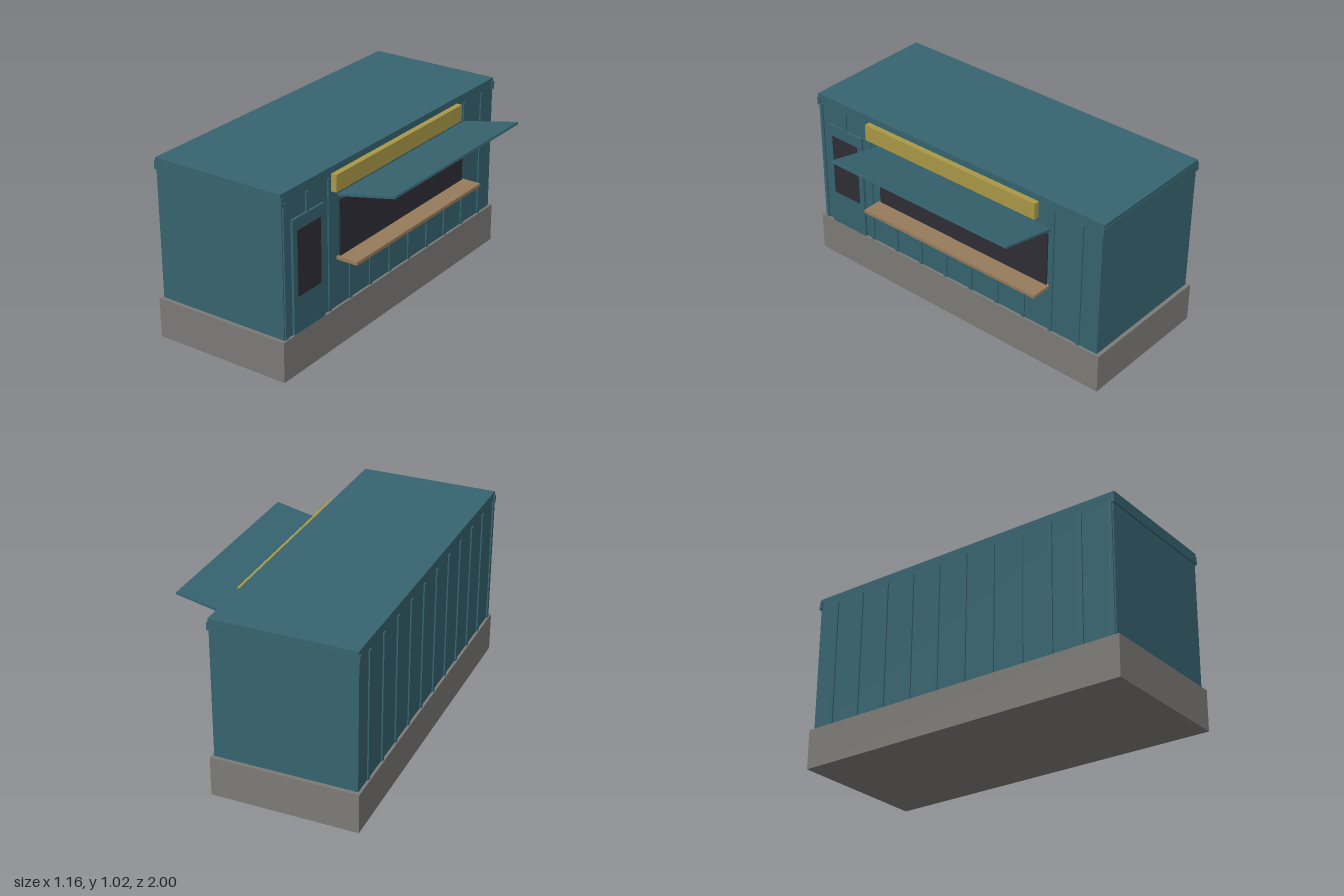
import * as THREE from 'three';

const paint = (name, color) => {
  const m = new THREE.MeshStandardMaterial({ color });
  m.name = name;
  return m;
};

export function createModel() {
  const teal = paint('teal', 0x36636f);
  const grey = paint('concrete grey', 0x7c7a77);
  const yellow = paint('mustard', 0xa99846);
  const wood = paint('wood', 0x967b5c);
  const glass = paint('dark glass', 0x2e2d36);

  const group = new THREE.Group();
  group.name = 'containerKiosk';

  // Box given by its min and max on each axis
  const box = (name, material, [x0, x1], [y0, y1], [z0, z1]) => {
    const mesh = new THREE.Mesh(new THREE.BoxGeometry(x1 - x0, y1 - y0, z1 - z0), material);
    mesh.position.set((x0 + x1) / 2, (y0 + y1) / 2, (z0 + z1) / 2);
    mesh.name = name;
    group.add(mesh);
    return mesh;
  };

  // Plinth, container walls and roof
  const floor = 0.228;
  box('plinth', grey, [-0.58, 0.24], [0, floor], [-1, 1]);
  box('walls', teal, [-0.565, 0.226], [floor, 1.0], [-0.978, 0.978]);
  box('roof', teal, [-0.566, 0.226], [1.0, 1.025], [-0.985, 0.985]);

  // Rails across the top of both ends
  for (const s of [-1, 1]) {
    const z = [s * 0.967, s * 0.987].sort((a, b) => a - b);
    box('endRail', teal, [-0.573, 0.233], [0.96, 1.005], z);
  }

  // Upright ribs on both long walls
  for (let i = 0; i < 11; i++) {
    const z = 0.96 - i * 0.1815;
    const span = [z - 0.011, z + 0.011];
    box('ribRight', teal, [-0.573, -0.56], [floor, 0.972], span);
    box('ribLeft', teal, [0.22, 0.234], [floor, 0.972], span);
  }

  // Door with its window
  box('door', teal, [0.22, 0.239], [floor, 0.865], [0.65, 0.908]);
  box('doorWindow', glass, [0.236, 0.243], [0.435, 0.8], [0.685, 0.875]);

  // Serving hatch, counter and sign board
  box('hatchOpening', glass, [0.232, 0.241], [0.51, 0.83], [-0.65, 0.52]);
  box('counter', wood, [0.226, 0.354], [0.497, 0.516], [-0.665, 0.533]);
  box('signBoard', yellow, [0.234, 0.267], [0.9, 0.995], [-0.585, 0.587]);

  // Raised hatch flap, tilted up away from the wall
  const flap = new THREE.Mesh(new THREE.BoxGeometry(0.352, 0.013, 1.196), teal);
  flap.name = 'hatchFlap';
  flap.position.set(0.405, 0.896, -0.067);
  flap.rotation.z = Math.atan2(0.073, 0.343);
  group.add(flap);

  return group;
}
